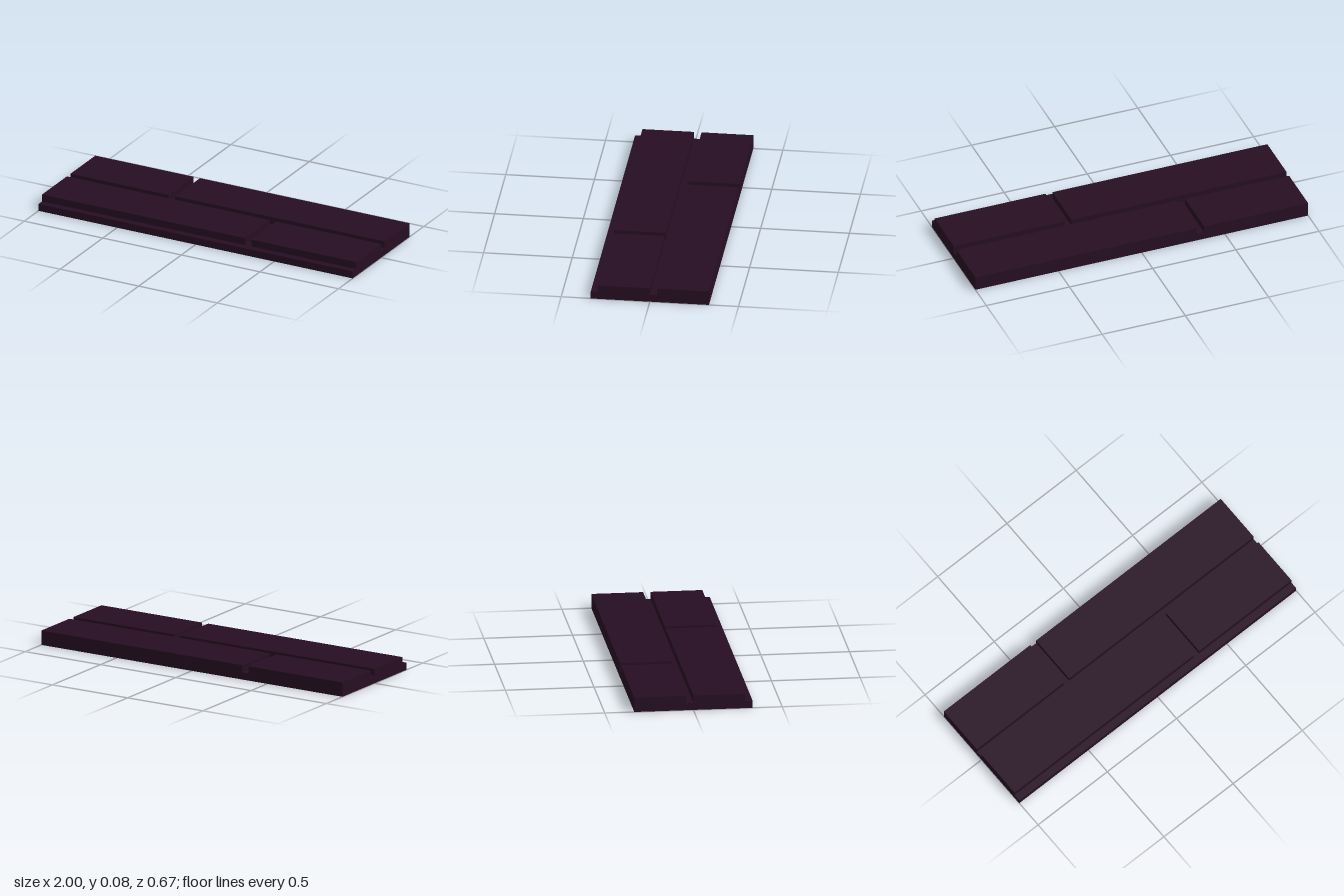
import * as THREE from 'three';

export function createModel() {
  const group = new THREE.Group();
  const u = 1 / 24; // mortar joint width, the module of the whole slab
  const stone = new THREE.MeshStandardMaterial({ color: 0x260e22 });
  stone.name = 'dark plum stone';

  // Box given by its extents in joint widths
  function block(name, x0, x1, y0, y1, z0, z1) {
    const geometry = new THREE.BoxGeometry((x1 - x0) * u, (y1 - y0) * u, (z1 - z0) * u);
    const mesh = new THREE.Mesh(geometry, stone);
    mesh.name = name;
    mesh.position.set((x0 + x1) * u / 2, (y0 + y1) * u / 2, (z0 + z1) * u / 2);
    group.add(mesh);
  }

  // Mortar bed
  block('mortarBed', -24, 24, 0, 1, -8, 8);

  // Two courses of bricks with staggered joints
  const courses = [
    { name: 'back', z: -8, joint: -9 },
    { name: 'front', z: 0, joint: 7 },
  ];
  for (const { name, z, joint } of courses) {
    block(name + 'RightBrick', -24, joint, 1, 2, z, z + 7);
    block(name + 'LeftBrick', joint + 1, 24, 1, 2, z, z + 7);
  }
  return group;
}
